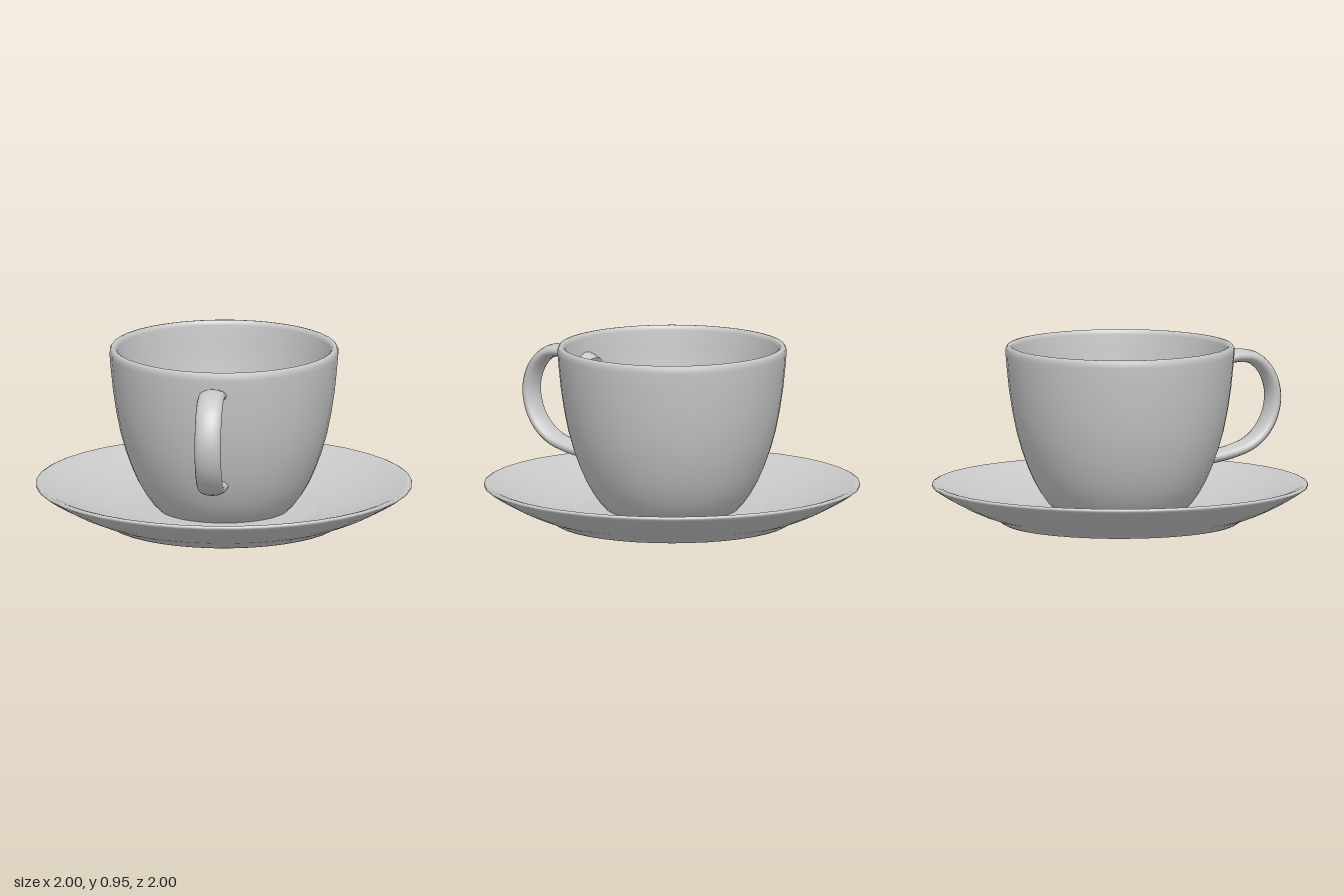
import * as THREE from 'three';

const SEGMENTS = 40;

export function createModel() {
  const group = new THREE.Group();
  const ceramic = new THREE.MeshStandardMaterial({ color: 0xc8c8c8 });
  ceramic.name = 'grey ceramic';

  const add = (name, geometry, parent = group) => {
    const mesh = new THREE.Mesh(geometry, ceramic);
    mesh.name = name;
    parent.add(mesh);
    return mesh;
  };
  const turned = (profile) =>
    new THREE.LatheGeometry(profile.map(([r, y]) => new THREE.Vector2(r, y)), SEGMENTS);

  // Saucer: recessed foot, flared underside, rounded rim, dished top with a flat well
  add('saucer', turned([
    [0, 0.02], [0.56, 0.02], [0.575, 0.002], [0.585, 0], [0.62, 0], [0.635, 0.008], [0.65, 0.024],
    [0.74, 0.056], [0.83, 0.096], [0.92, 0.145], [0.985, 0.186], [0.998, 0.196],
    [0.998, 0.206], [0.985, 0.212], [0.965, 0.207], [0.9, 0.181], [0.8, 0.146],
    [0.7, 0.117], [0.6, 0.093], [0.53, 0.08], [0.5, 0.074], [0.48, 0.07], [0, 0.07],
  ]));

  // Cup: curved outer wall, rounded lip, hollow inside
  add('cup', turned([
    [0, 0.05], [0.3, 0.05], [0.335, 0.06], [0.38, 0.105], [0.42, 0.16], [0.457, 0.225],
    [0.49, 0.3], [0.522, 0.39], [0.55, 0.49], [0.572, 0.6], [0.59, 0.72], [0.602, 0.84],
    [0.608, 0.91], [0.607, 0.935], [0.598, 0.948], [0.585, 0.95], [0.574, 0.943],
    [0.568, 0.925], [0.562, 0.84], [0.55, 0.72], [0.532, 0.6], [0.51, 0.49], [0.48, 0.39],
    [0.45, 0.3], [0.415, 0.225], [0.38, 0.175], [0.33, 0.14], [0.25, 0.12], [0, 0.115],
  ]));

  // Handle: a flattened tube that is twice as wide as it is thick
  const handle = new THREE.Group();
  handle.name = 'handle';
  group.add(handle);
  const radius = 0.035;
  const path = new THREE.CatmullRomCurve3([
    [0.515, 0.795], [0.6, 0.828], [0.7, 0.846], [0.8, 0.828], [0.88, 0.755], [0.92, 0.64],
    [0.907, 0.53], [0.855, 0.435], [0.77, 0.367], [0.66, 0.332], [0.55, 0.314], [0.47, 0.305],
  ].map(([z, y]) => new THREE.Vector3(0, y, z)));
  add('handleLoop', new THREE.TubeGeometry(path, 36, radius, 16).scale(2, 1, 1), handle);

  // Flat caps closing both handle ends
  for (const [t, sign] of [[0, -1], [1, 1]]) {
    const normal = path.getTangentAt(t).multiplyScalar(sign);
    const end = path.getPointAt(t);
    const cap = new THREE.CircleGeometry(radius, 16)
      .scale(2, 1, 1)
      .rotateX(Math.atan2(-normal.y, normal.z))
      .translate(end.x, end.y, end.z);
    add('handleEnd', cap, handle);
  }

  return group;
}
